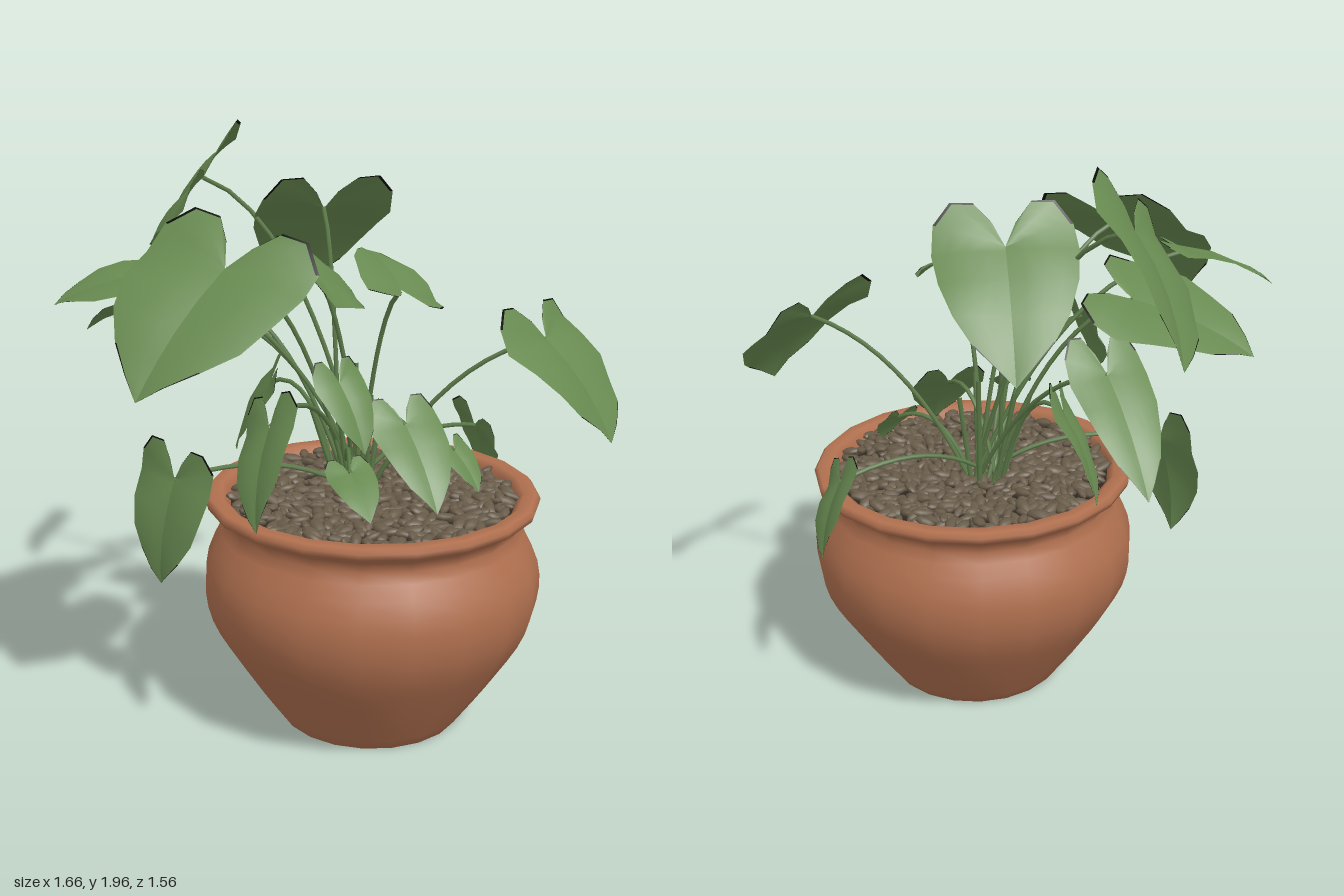
import * as THREE from 'three';
import { mergeGeometries } from 'three/addons/utils/BufferGeometryUtils.js';

const POT_X = 0.105, POT_Z = 0.22;
const UP = new THREE.Vector3(0, 1, 0);

const mats = {
  terracotta: new THREE.MeshStandardMaterial({ color: 0xb0704f, side: THREE.DoubleSide }),
  pebble: new THREE.MeshStandardMaterial({ color: 0x675a48 }),
  soil: new THREE.MeshStandardMaterial({ color: 0x2f2721 }),
  leafGreen: new THREE.MeshStandardMaterial({ color: 0x688a51, side: THREE.DoubleSide }),
  leafEdge: new THREE.MeshStandardMaterial({ color: 0x0b0c09, side: THREE.DoubleSide }),
  stemGreen: new THREE.MeshStandardMaterial({ color: 0x5d7b49 }),
};
for (const [name, m] of Object.entries(mats)) m.name = name;

function seeded(seed) {
  return () => {
    seed = (seed * 16807) % 2147483647;
    return seed / 2147483647;
  };
}

function add(group, name, geometry, material) {
  const mesh = new THREE.Mesh(geometry, material);
  mesh.name = name;
  group.add(mesh);
  return mesh;
}

// Half outline of a heart-shaped leaf, from tip to notch: [side, along]
const HEART = [[0, 1], [0.12, 0.88], [0.27, 0.72], [0.39, 0.52], [0.47, 0.28], [0.5, 0.04],
  [0.48, -0.17], [0.36, -0.32], [0.2, -0.32], [0.08, -0.17], [0, 0]];
// Ribs cross from midrib to outline; the last narrow step is the withered edge
const ACROSS = [0, 0.25, 0.5, 0.75, 0.96, 1];

// Leaf blade arched along its length. It faces upward, then rolls about its midrib.
function leafGeometry(base, tip, width, roll) {
  const along = tip.clone().sub(base);
  const length = along.length();
  along.normalize();
  const side = along.clone().cross(UP).normalize().applyAxisAngle(along, roll);
  const normal = side.clone().cross(along);
  const pos = [], green = [], edge = [];
  const n = ACROSS.length;
  for (const s of [1, -1]) {
    const start = pos.length / 3;
    HEART.forEach(([x, y], i) => {
      const mid = Math.max(0, y);
      ACROSS.forEach((t, k) => {
        const u = x * t;
        const v = mid + (y - mid) * t;
        const c = Math.max(0, v);
        const h = length * 0.25 * c * (1 - c)
          + width * (0.22 * u - 0.5 * u * u + 0.05 * u * Math.sin(i * 2 + s));
        const p = base.clone()
          .addScaledVector(side, s * u * width)
          .addScaledVector(along, v * length)
          .addScaledVector(normal, h);
        pos.push(p.x, p.y, p.z);
        if (i && k) {
          const d = start + i * n + k, c0 = d - 1, b = d - n, a = b - 1;
          const withered = k === n - 1 && (i < 3 || i > 6);
          const list = withered ? edge : green;
          if (s > 0) list.push(a, c0, b, b, c0, d);
          else list.push(a, b, c0, b, d, c0);
        }
      });
    });
  }
  const g = new THREE.BufferGeometry();
  g.setAttribute('position', new THREE.Float32BufferAttribute(pos, 3));
  g.setIndex([...green, ...edge]);
  g.addGroup(0, green.length, 0);
  g.addGroup(green.length, edge.length, 1);
  g.computeVertexNormals();
  return g;
}

// Leaves: notch position, tip position, width, roll
const LEAVES = [
  [[-0.2, 1.77, -0.38], [-0.17, 1.47, -0.78], 0.44, -0.79],
  [[-0.44, 1.6, 0.25], [-0.8, 1.27, 0.38], 0.58, -0.22],
  [[-0.32, 1.46, -0.14], [-0.64, 1.3, -0.38], 0.44, 0.24],
  [[-0.58, 1.55, 0], [-0.83, 1.45, -0.16], 0.28, -0.24],
  [[0.11, 1.68, -0.11], [0.2, 1.34, -0.42], 0.46, 0],
  [[-0.1, 1.54, 0.17], [0.15, 1.38, 0.06], 0.32, 0.6],
  [[0.1, 1.5, 0.38], [0.13, 1.58, 0.12], 0.3, 0.35],
  [[0.14, 1.05, 0.36], [0.12, 0.82, 0.58], 0.25, 0],
  [[0.58, 1.31, 0.5], [0.67, 1.01, 0.74], 0.52, -0.14],
  [[0.63, 0.89, 0.06], [0.73, 0.68, -0.05], 0.24, 0.79],
  [[-0.43, 1.17, 0.5], [-0.54, 0.9, 0.62], 0.24, 0.7],
  [[-0.51, 0.87, 0], [-0.56, 0.51, -0.02], 0.32, -0.73],
  [[-0.08, 1.1, -0.14], [-0.13, 0.82, -0.3], 0.26, -0.7],
  [[-0.14, 1.3, -0.34], [-0.14, 1, -0.65], 0.26, 0],
  [[-0.15, 1.25, 0.43], [-0.13, 1.05, 0.55], 0.19, 0],
  [[-0.14, 0.97, 0.48], [-0.17, 0.87, 0.65], 0.15, 0.1],
  [[0.32, 0.94, 0.38], [0.35, 0.82, 0.48], 0.14, 0],
];

export function createModel() {
  const model = new THREE.Group();
  model.name = 'pottedPlant';
  const rand = seeded(7);

  // Pot with recessed base, round belly, narrow neck and rolled rim
  const points = (list) => list.map(([r, y]) => new THREE.Vector2(r, y));
  const belly = new THREE.SplineCurve(points([[0.305, 0], [0.43, 0.18], [0.54, 0.37], [0.558, 0.54], [0.49, 0.7]]));
  const profile = [
    ...points([[0, 0.03], [0.26, 0.03], [0.28, 0]]),
    ...belly.getPoints(14),
    ...points([[0.5, 0.735], [0.548, 0.765], [0.553, 0.785], [0.54, 0.8], [0.5, 0.8], [0.478, 0.78], [0.468, 0.72]]),
  ];
  const pot = add(model, 'pot', new THREE.LatheGeometry(profile, 20), mats.terracotta);
  pot.position.set(POT_X, 0, POT_Z);

  // Soil under the pebbles
  const soil = add(model, 'soil', new THREE.CylinderGeometry(0.475, 0.475, 0.03, 24), mats.soil);
  soil.position.set(POT_X, 0.742, POT_Z);

  // Flattened oval pebbles scattered evenly over the soil
  const pebbles = [];
  const count = 620;
  for (let i = 0; i < count; i++) {
    const r = 0.46 * Math.sqrt((i + 0.5) / count);
    const a = i * 2.39996 + rand() * 0.08;
    const k = 0.8 + rand() * 0.5;
    const g = new THREE.SphereGeometry(1, 7, 5);
    g.scale(0.034 * k, 0.013 * k, 0.018 * k);
    g.rotateX((rand() - 0.5) * 0.9);
    g.rotateZ((rand() - 0.5) * 0.7);
    g.rotateY(rand() * Math.PI * 2);
    g.translate(POT_X + r * Math.cos(a), 0.768 + rand() * 0.02, POT_Z + r * Math.sin(a));
    pebbles.push(g);
  }
  add(model, 'pebbles', mergeGeometries(pebbles), mats.pebble);

  // Foliage: each leaf with its arching stem
  const foliage = new THREE.Group();
  foliage.name = 'foliage';
  model.add(foliage);
  const rootAt = (a) => new THREE.Vector3(0.09 + 0.05 * Math.cos(a), 0.75, 0.13 + 0.05 * Math.sin(a));
  LEAVES.forEach(([b, t, width, roll], i) => {
    const base = new THREE.Vector3(...b);
    const tip = new THREE.Vector3(...t);
    add(foliage, `leaf${i + 1}`, leafGeometry(base, tip, width, roll), [mats.leafGreen, mats.leafEdge]);
    const root = rootAt(i * 2.4);
    const bend = root.clone().lerp(base, 0.4);
    bend.y = base.y + (base.y > 1.2 ? -0.08 : 0.1);
    const curve = new THREE.QuadraticBezierCurve3(root, bend, base);
    add(foliage, `stem${i + 1}`, new THREE.TubeGeometry(curve, 12, 0.008, 5), mats.stemGreen);
  });

  // Young shoots in the middle
  for (let i = 0; i < 6; i++) {
    const a = i * 1.05 + 0.3;
    const top = new THREE.Vector3(0.06 + 0.12 * Math.cos(a), 1.08 + 0.05 * (i % 3), 0.12 + 0.12 * Math.sin(a));
    const shoot = new THREE.LineCurve3(rootAt(a), top);
    add(foliage, `shoot${i + 1}`, new THREE.TubeGeometry(shoot, 2, 0.009, 5), mats.stemGreen);
  }
  return model;
}
